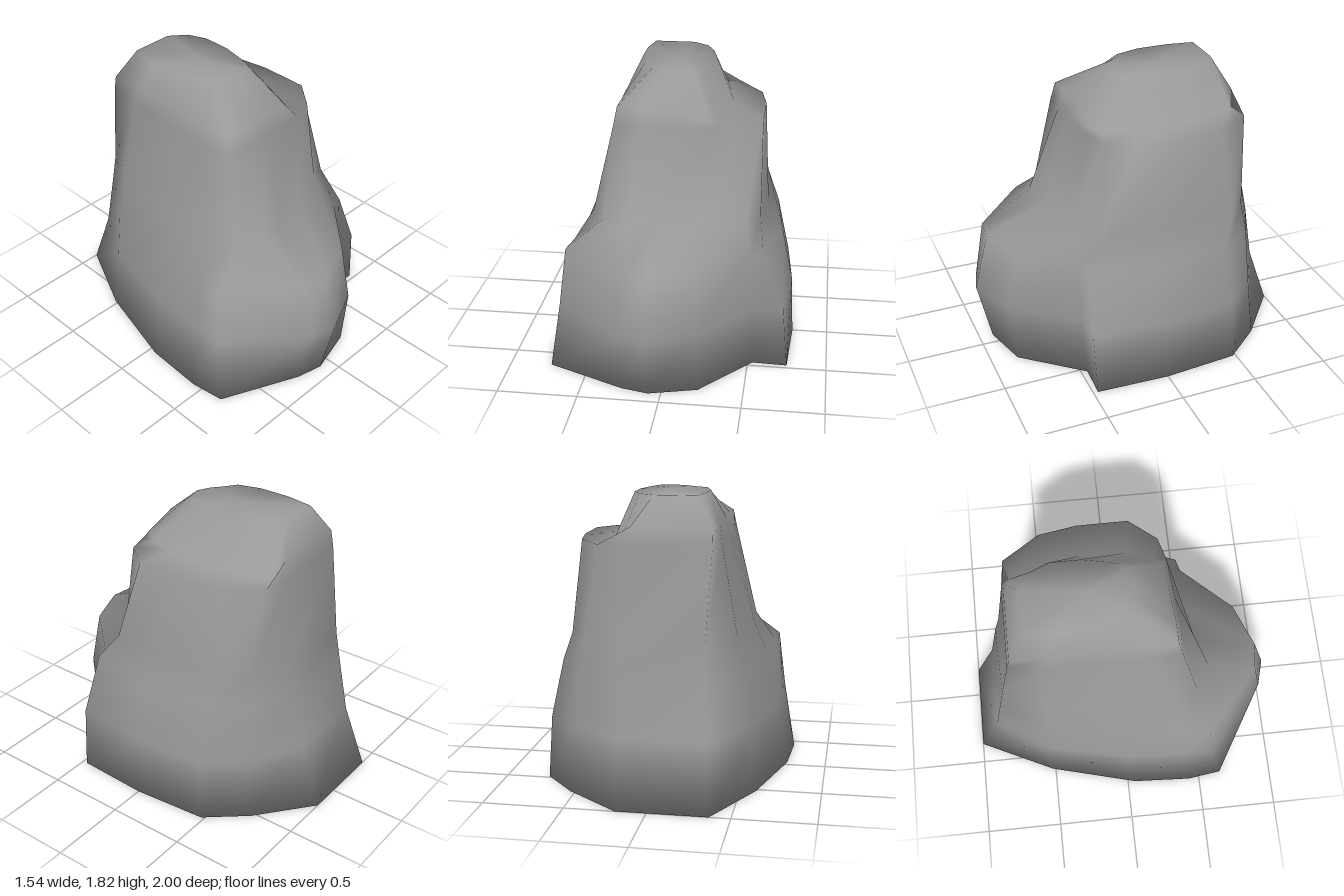
import * as THREE from 'three';

// Outline from flat x,z pairs, running from the back round by the left (+x) side and the front
function outline(...n) {
  const points = [];
  for (let i = 0; i < n.length; i += 2) points.push([n[i], n[i + 1]]);
  return points;
}

// Skin a stack of { y, points } rings and close both ends, sharing vertices for smooth normals.
// A point may carry its own height as a third value.
function skin(rings) {
  const count = rings[0].points.length;
  const positions = [];
  const index = [];
  for (const { y, points } of rings) for (const [x, z, height = y] of points) positions.push(x, height, z);
  for (let r = 0; r < rings.length - 1; r++) {
    for (let i = 0; i < count; i++) {
      const a = r * count + i;
      const b = r * count + (i + 1) % count;
      index.push(a, a + count, b, b, a + count, b + count);
    }
  }
  const bottom = rings.length * count;
  const last = bottom - count;
  for (const ring of [rings[0], rings[rings.length - 1]]) {
    const mean = k => ring.points.reduce((sum, p) => sum + p[k], 0) / count;
    positions.push(mean(0), ring.y, mean(1));
  }
  for (let i = 0; i < count; i++) {
    const j = (i + 1) % count;
    index.push(bottom, i, j, bottom + 1, last + j, last + i);
  }
  const geometry = new THREE.BufferGeometry();
  geometry.setAttribute('position', new THREE.Float32BufferAttribute(positions, 3));
  geometry.setIndex(index);
  geometry.computeVertexNormals();
  return geometry;
}

export function createModel() {
  const group = new THREE.Group();
  group.name = 'boulder';

  // Foot, front ledge and waist
  const foot = outline(-0.37, -1, 0.19, -1, 0.53, -0.72, 0.73, -0.48, 0.77, 0, 0.75, 0.47, 0.53, 0.46,
    0.22, 0.83, -0.08, 0.91, -0.25, 0.87, -0.74, 0.65, -0.77, 0.43, -0.75, 0.05, -0.6, -0.52);
  const ledge = outline(-0.32, -0.8, 0.2, -0.8, 0.48, -0.66, 0.63, -0.45, 0.675, 0, 0.58, 0.46, 0.5, 0.48,
    0.2, 0.8, -0.08, 0.91, -0.25, 0.89, -0.645, 0.54, -0.62, 0.38, -0.6, 0, -0.52, -0.5);
  const waist = outline(-0.31, -0.77, 0.2, -0.76, 0.45, -0.63, 0.55, -0.52, 0.58, 0, 0.55, 0.31, 0.46, 0.33,
    0.2, 0.42, -0.08, 0.5, -0.25, 0.56, -0.41, 0.47, -0.5, 0.33, -0.52, 0, -0.47, -0.5);

  // Belly lies between foot and ledge, swelling at the front
  const swell = { 5: 0.02, 6: 0.02, 7: 0.06, 8: 0.09, 9: 0.07 };
  const belly = foot.map(([x, z], i) => [
    THREE.MathUtils.lerp(x, ledge[i][0], x > 0 ? 0.2 : 0.55),
    THREE.MathUtils.lerp(z, ledge[i][1], 0.7) + (swell[i] ?? 0),
  ]);

  // Shoulder carries a flat shelf on the left side; the neck steps in there and is higher elsewhere
  const shoulder = outline(-0.34, -0.69, 0.17, -0.69, 0.35, -0.67, 0.5, -0.44, 0.54, -0.2, 0.54, 0.12, 0.4, 0.29,
    0.25, 0.33, 0, 0.35, -0.2, 0.36, -0.36, 0.355, -0.37, 0.17, -0.375, -0.1, -0.37, -0.48);
  const neck = outline(-0.34, -0.67, 0.15, -0.67, 0.22, -0.64, 0.3, -0.42, 0.33, -0.2, 0.32, 0.08, 0.27, 0.25,
    0.22, 0.31, 0, 0.31, -0.2, 0.33, -0.34, 0.33, -0.34, 0.15, -0.345, -0.1, -0.35, -0.45)
    .map(([x, z], i) => [x, z, i >= 2 && i <= 6 ? 1.54 : i === 7 ? 1.57 : 1.64]);
  const crown = outline(-0.23, -0.58, 0.03, -0.58, 0.13, -0.5, 0.18, -0.38, 0.18, -0.2, 0.15, -0.05, 0.13, 0.02,
    0.1, 0.08, 0, 0.1, -0.08, 0.06, -0.15, 0, -0.22, -0.05, -0.26, -0.2, -0.26, -0.4);

  const rock = new THREE.Mesh(skin([
    { y: 0, points: foot },
    { y: 0.4, points: belly },
    { y: 0.77, points: ledge },
    { y: 0.96, points: waist },
    { y: 1.53, points: shoulder },
    { y: 1.64, points: neck },
    { y: 1.82, points: crown },
  ]), new THREE.MeshStandardMaterial({ color: 0x999999 }));
  rock.name = 'rock';
  group.add(rock);
  return group;
}
